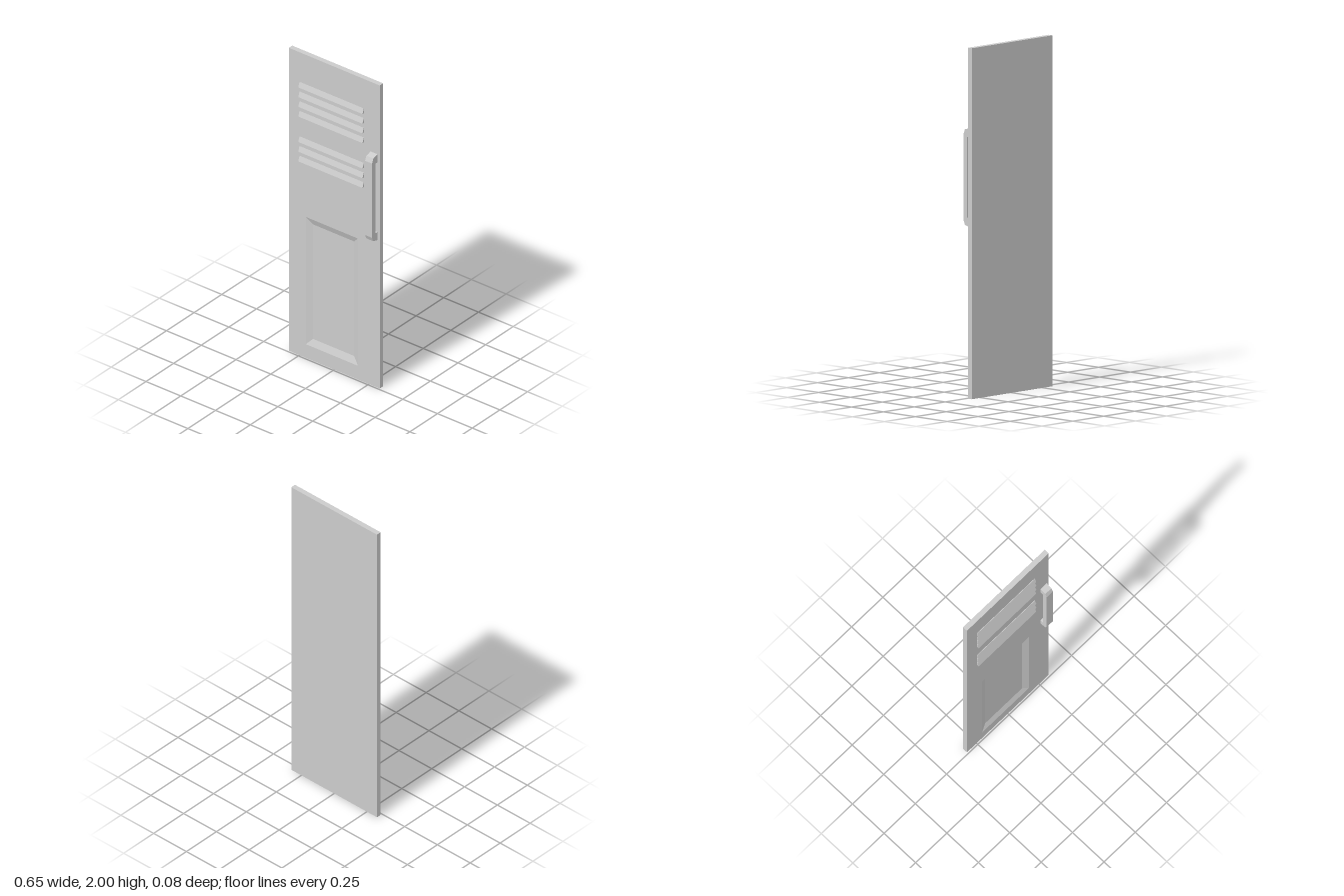
import * as THREE from 'three';

const material = new THREE.MeshStandardMaterial({ color: 0xcccccc });

function addMesh(parent, geometry, name) {
  const mesh = new THREE.Mesh(geometry, material);
  mesh.name = name;
  parent.add(mesh);
  return mesh;
}

// Four corners of a rectangle, counter-clockwise seen from the front
const rect = (x0, x1, y0, y1, z) => [[x0, y0, z], [x1, y0, z], [x1, y1, z], [x0, y1, z]];

// Skin a series of rectangles, closing both ends, with flat faces
function rectLoft(rings) {
  const pos = [];
  const quad = (a, b, c, d) => pos.push(...a, ...b, ...c, ...a, ...c, ...d);
  for (let r = 0; r < rings.length - 1; r++) {
    for (let i = 0; i < 4; i++) {
      const j = (i + 1) % 4;
      quad(rings[r][i], rings[r][j], rings[r + 1][j], rings[r + 1][i]);
    }
  }
  const [a, b, c, d] = rings[0];
  quad(d, c, b, a);
  quad(...rings[rings.length - 1]);
  const geometry = new THREE.BufferGeometry();
  geometry.setAttribute('position', new THREE.Float32BufferAttribute(pos, 3));
  geometry.computeVertexNormals();
  return geometry;
}

// Extrude a side profile of [z, y] points across x0..x1
function sideExtrude(points, x0, x1) {
  const shape = new THREE.Shape(points.map(([z, y]) => new THREE.Vector2(-z, y)));
  const geometry = new THREE.ExtrudeGeometry(shape, { depth: x1 - x0, bevelEnabled: false });
  return geometry.rotateY(Math.PI / 2).translate(x0, 0, 0);
}

export function createModel() {
  const door = new THREE.Group();
  door.name = 'lockerDoor';
  const front = -0.01;

  // Door slab with a bevelled recess in its lower front
  addMesh(door, rectLoft([
    rect(-0.327, 0.327, 0, 2, -0.041),
    rect(-0.327, 0.327, 0, 2, front),
    rect(-0.205, 0.17, 0.09, 0.93, front),
    rect(-0.165, 0.13, 0.132, 0.888, front - 0.016),
  ]), 'doorPanel');

  // Two banks of wedge-shaped vent louvres
  const louvres = new THREE.Group();
  louvres.name = 'ventLouvres';
  door.add(louvres);
  const louvre = sideExtrude(
    [[front, 0], [0.004, 0], [-0.007, 0.03], [front, 0.03]], -0.248, 0.214);
  for (const [top, count] of [[1.775, 4], [1.415, 3]]) {
    for (let i = 0; i < count; i++) {
      addMesh(louvres, louvre, 'louvre').position.y = top - i * 0.064;
    }
  }

  // Pull handle: a bracket-shaped bar with chamfered ends
  const half = [[front, 0.283], [0.028, 0.273], [0.04, 0.245]];
  const inner = [[0.01, 0.23], [front, 0.23]];
  const mirror = (pts) => pts.map(([z, y]) => [z, -y]).reverse();
  const profile = [...half, ...mirror(half), ...mirror(inner), ...inner];
  addMesh(door, sideExtrude(profile, 0.261, 0.311), 'handle').position.y = 1.257;

  return door;
}
